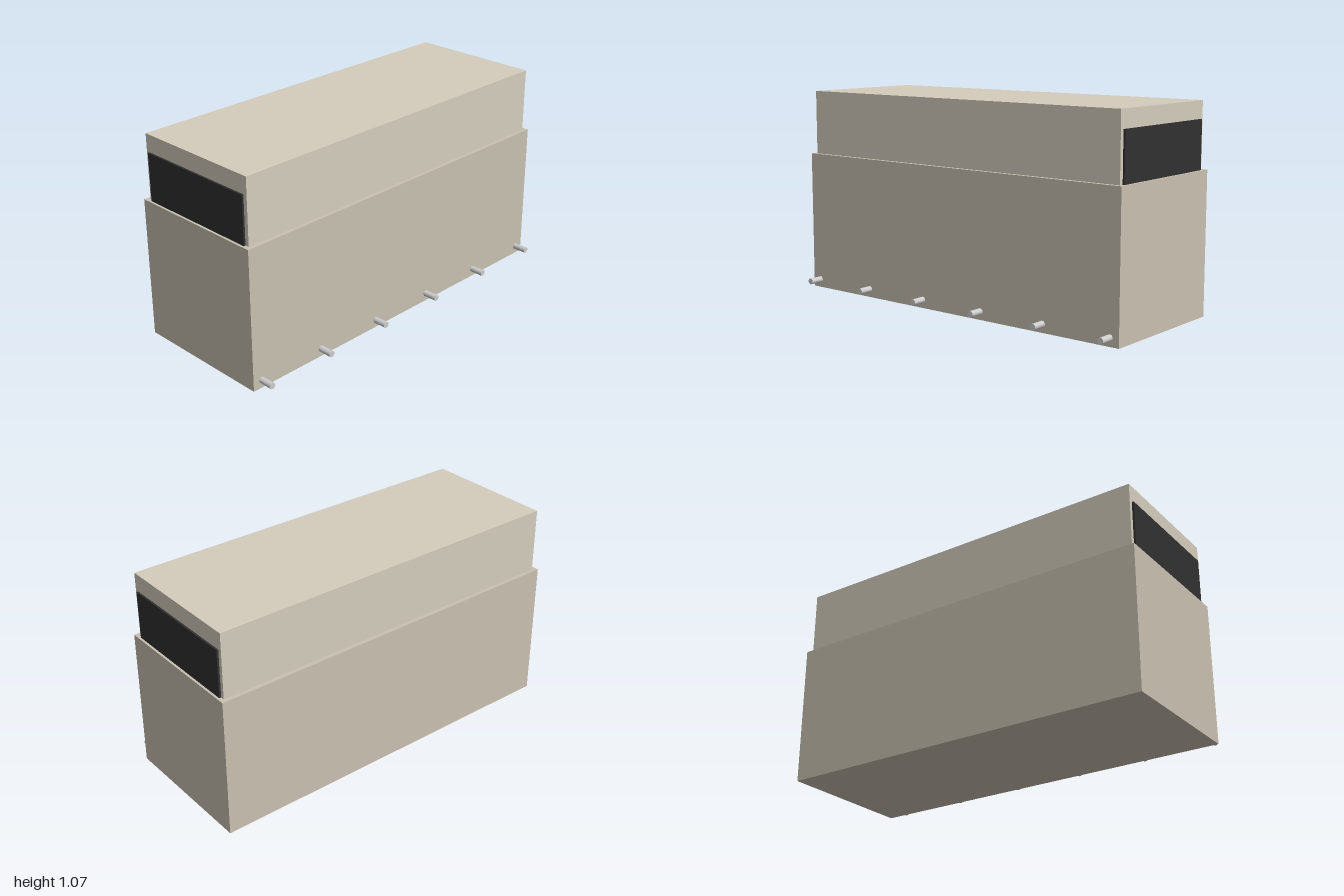
import * as THREE from 'three';

const material = (color) => new THREE.MeshStandardMaterial({ color });

// Box given by its minimum and maximum corners
function box(name, min, max, mat) {
  const size = max.map((v, i) => v - min[i]);
  const mesh = new THREE.Mesh(new THREE.BoxGeometry(...size), mat);
  mesh.position.set(...max.map((v, i) => (v + min[i]) / 2));
  mesh.name = name;
  return mesh;
}

export function createModel() {
  const model = new THREE.Group();
  model.name = 'cabinet';
  const lower = material(0xc8c0b0);
  const upper = material(0xd4cdbd);
  const dark = material(0x303030);
  const metal = material(0xcccccc);

  // Main body and the slightly inset upper housing
  model.add(box('lowerBody', [-1, 0, -0.413], [1, 0.733, 0.338], lower));
  model.add(box('upperHousing', [-0.978, 0.733, -0.391], [0.978, 1.07, 0.317], upper));

  // Dark vent panel on each end
  for (const [name, x] of [['leftVent', 0.978], ['rightVent', -0.988]]) {
    model.add(box(name, [x, 0.733, -0.371], [x + 0.01, 0.98, 0.296], dark));
  }

  // Row of short drain pipes along the foot of the front
  const pipes = new THREE.Group();
  pipes.name = 'drainPipes';
  const pipeGeometry = new THREE.CylinderGeometry(0.016, 0.016, 0.075, 24).rotateX(Math.PI / 2);
  for (let i = 0; i < 6; i++) {
    const pipe = new THREE.Mesh(pipeGeometry, metal);
    pipe.name = 'drainPipe';
    pipe.position.set(-0.95 + i * 0.38, 0.043, 0.3755);
    pipes.add(pipe);
  }
  model.add(pipes);
  return model;
}
